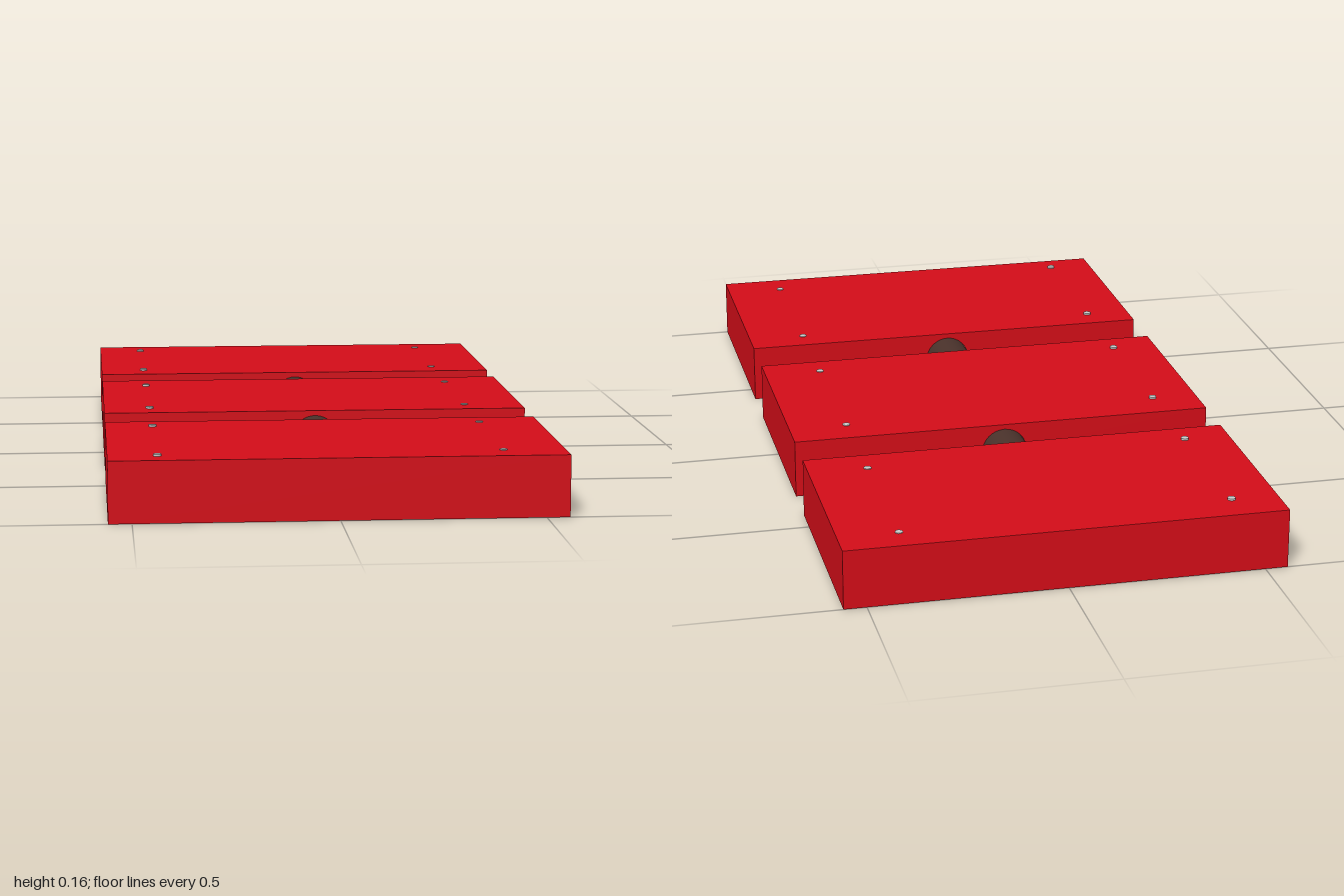
import * as THREE from 'three';

export function createModel() {
  const model = new THREE.Group();
  const red = new THREE.MeshStandardMaterial({ color: 0xd40d18 });
  const brown = new THREE.MeshStandardMaterial({ color: 0x4a322b });
  const grey = new THREE.MeshStandardMaterial({ color: 0xcccccc });

  const add = (name, geometry, material, x, y, z) => {
    const mesh = new THREE.Mesh(geometry, material);
    mesh.name = name;
    mesh.position.set(x, y, z);
    model.add(mesh);
    return mesh;
  };

  // Three flat slabs in a row
  const height = 0.153, depth = 0.577;
  const slab = new THREE.BoxGeometry(1.115, height, depth);
  [['backSlab', -0.7115], ['middleSlab', -0.0085], ['frontSlab', 0.7115]]
    .forEach(([name, z]) => add(name, slab, red, 0, height / 2, z));

  // Round couplings bridging the gaps
  const coupling = new THREE.CylinderGeometry(0.06, 0.06, 0.18, 32).rotateX(Math.PI / 2);
  add('backCoupling', coupling, brown, -0.002, 0.08, -0.36);
  add('frontCoupling', coupling, brown, -0.002, 0.08, 0.35);

  // Small pins, four per slab, barely proud of the top
  const pin = new THREE.CylinderGeometry(0.01, 0.01, 0.04, 16);
  const rows = [
    { name: 'rightPin', x: -0.437, top: 0.158, zs: [-0.905, -0.5, -0.195, 0.205, 0.5, 0.935] },
    { name: 'leftPin', x: 0.405, top: 0.155, zs: [-0.92, -0.51, -0.205, 0.205, 0.497, 0.917] },
  ];
  for (const { name, x, top, zs } of rows) {
    zs.forEach((z, i) => add(name + (i + 1), pin, grey, x, top - 0.02, z));
  }

  return model;
}
